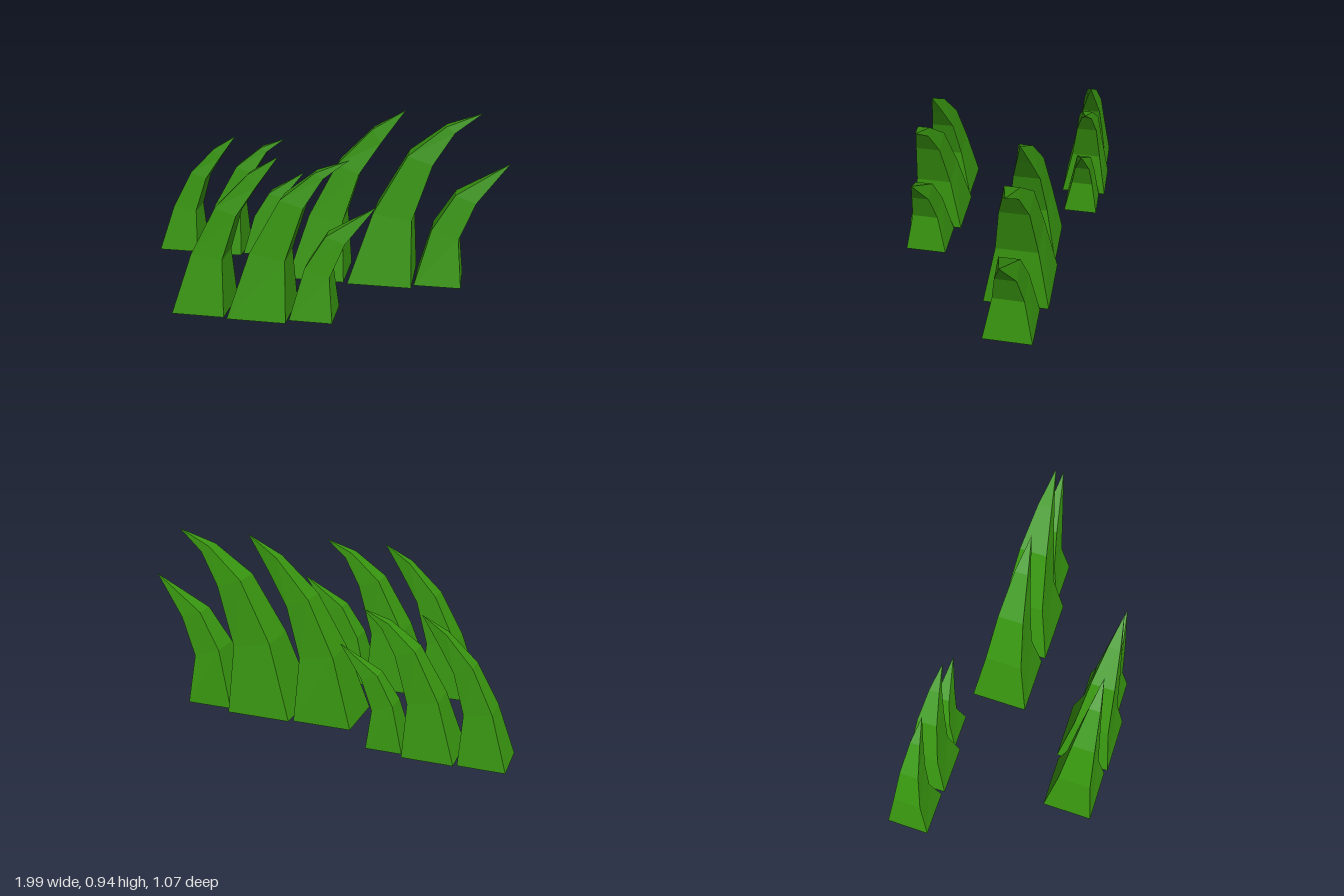
import * as THREE from 'three';

const grassGreen = new THREE.MeshStandardMaterial({ color: 0x389610, flatShading: true });
grassGreen.name = 'grass green';

// Blade profiles: start x, then rings [leftX, leftY, rightX, rightY, halfDepth]; the last ring is the tip
const BLADES = [
  { name: 'uprightBlade', x: 0, rings: [
    [0, 0, 0.31, 0, 0.155], [0.112, 0.355, 0.295, 0.33, 0.1], [0.255, 0.635, 0.375, 0.588, 0.068],
    [0.44, 0.828, 0.485, 0.755, 0.035], [0.609, 0.93, 0.609, 0.93, 0]] },
  { name: 'tallBlade', x: 0.332, rings: [
    [0, 0, 0.345, 0, 0.17], [0.126, 0.388, 0.331, 0.352, 0.108], [0.297, 0.7, 0.43, 0.658, 0.073],
    [0.49, 0.857, 0.535, 0.824, 0.037], [0.677, 0.93, 0.677, 0.93, 0]] },
  { name: 'shortBlade', x: 0.687, rings: [
    [0, 0, 0.25, 0, 0.126], [0.082, 0.304, 0.225, 0.255, 0.079], [0.198, 0.494, 0.308, 0.456, 0.052],
    [0.474, 0.668, 0.474, 0.668, 0]] },
];

// Lofts four-cornered rings up to a point
function bladeGeometry(rings) {
  const corners = rings.map(([lx, ly, rx, ry, d]) =>
    [[lx, ly, d], [rx, ry, d], [rx, ry, -d], [lx, ly, -d]]);
  const pos = [];
  const tri = (a, b, c) => pos.push(...a, ...b, ...c);
  for (let i = 0; i < corners.length - 1; i++) {
    const lower = corners[i], upper = corners[i + 1];
    for (let k = 0; k < 4; k++) {
      const n = (k + 1) % 4;
      tri(lower[k], lower[n], upper[n]);
      if (i < corners.length - 2) tri(lower[k], upper[n], upper[k]);
    }
  }
  // Closed underside
  const base = corners[0];
  tri(base[0], base[3], base[2]);
  tri(base[0], base[2], base[1]);
  const geometry = new THREE.BufferGeometry();
  geometry.setAttribute('position', new THREE.Float32BufferAttribute(pos, 3));
  geometry.computeVertexNormals();
  return geometry;
}

// A row of three blades bending the same way
function makeTuft(name, x, y, z, scale) {
  const tuft = new THREE.Group();
  tuft.name = name;
  for (const blade of BLADES) {
    const mesh = new THREE.Mesh(bladeGeometry(blade.rings), grassGreen);
    mesh.name = blade.name;
    mesh.position.x = blade.x;
    tuft.add(mesh);
  }
  tuft.position.set(x, y, z);
  tuft.scale.setScalar(scale);
  return tuft;
}

export function createModel() {
  const model = new THREE.Group();
  model.name = 'grass';
  model.add(
    makeTuft('largeTuft', -0.172, 0.008, -0.17, 1),
    makeTuft('frontTuft', -0.648, 0.002, 0.385, 0.865),
    makeTuft('backTuft', -1, 0.015, -0.41, 0.73),
  );
  return model;
}
